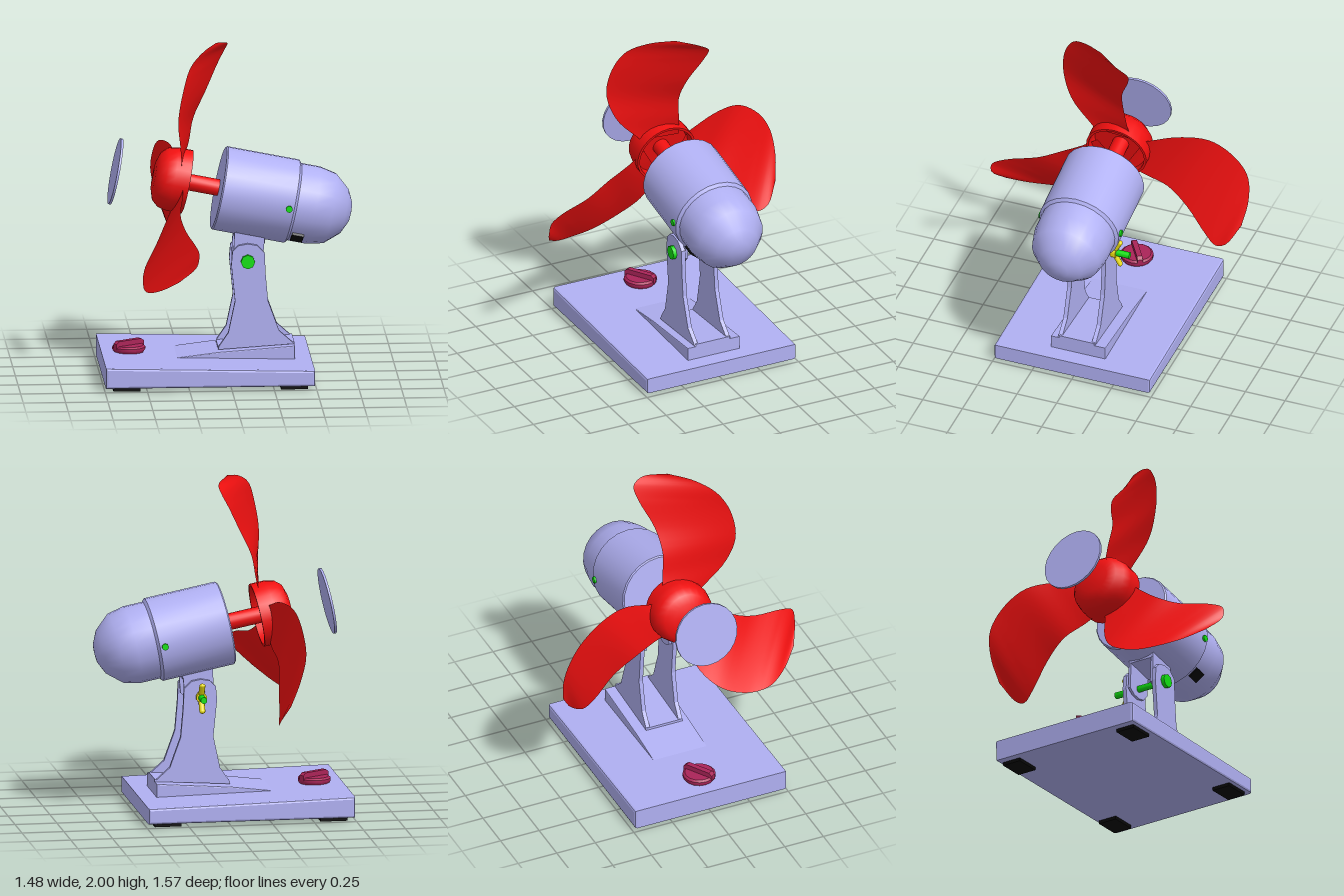
import * as THREE from 'three';
import { toCreasedNormals } from 'three/addons/utils/BufferGeometryUtils.js';
import { ParametricGeometry } from 'three/addons/geometries/ParametricGeometry.js';

const mat = (color, side = THREE.FrontSide) => {
  const m = new THREE.MeshStandardMaterial({ color });
  m.side = side;
  return m;
};
const body = mat(0xb0b0f2), red = mat(0xf01010), redThin = mat(0xf01010, THREE.DoubleSide);
const green = mat(0x10e010), yellow = mat(0xeadc10), black = mat(0x080808), purple = mat(0xaa2458);
const TILT = 0.2; // upward tilt of the motor axis

function add(parent, name, geo, material, x = 0, y = 0, z = 0) {
  const mesh = new THREE.Mesh(geo, material);
  mesh.name = name;
  mesh.position.set(x, y, z);
  parent.add(mesh);
  return mesh;
}

// Side profile in x/y, given thickness between z0 and z1
function slab(points, z0, z1, bevel = 0) {
  const shape = new THREE.Shape(points.map(p => new THREE.Vector2(...p)));
  const geo = new THREE.ExtrudeGeometry(shape, {
    depth: z1 - z0 - 2 * bevel, bevelEnabled: bevel > 0, bevelSize: bevel,
    bevelThickness: bevel, bevelOffset: -bevel, bevelSegments: 2,
  });
  return geo.translate(0, 0, z0 + bevel);
}

const lathe = (points, sides = 24) => toCreasedNormals(
  new THREE.LatheGeometry(points.map(p => new THREE.Vector2(...p)), sides), 0.6);

const cylinder = (r, length, sides) => toCreasedNormals(
  new THREE.CylinderGeometry(r, r, length, sides), 0.9);

const curve = points => new THREE.CatmullRomCurve3(
  points.map(([r, z, s]) => new THREE.Vector3(-r, s, z)));

// Twisted blade lofted between its leading and trailing edges: [radius, across, along axis]
function bladeGeometry() {
  const lead = curve([[0.10, 0.15, 0], [0.255, 0.30, -0.05], [0.42, 0.36, -0.10], [0.60, 0.34, -0.105],
    [0.73, 0.27, -0.085], [0.813, 0.16, -0.02], [0.86, 0.03, 0.06]]);
  const trail = curve([[0.10, -0.09, 0.02], [0.22, -0.075, 0.03], [0.373, -0.06, 0.026], [0.534, -0.08, 0.065],
    [0.717, -0.15, 0.114], [0.80, -0.16, 0.139], [0.845, -0.10, 0.139], [0.86, 0.03, 0.06]]);
  return new ParametricGeometry((u, v, target) => {
    target.lerpVectors(lead.getPoint(u), trail.getPoint(u), v);
  }, 28, 8);
}

function addBase(root) {
  add(root, 'base', slab([[-0.745, 0.02], [0.49, 0.02], [0.49, 0.115], [-0.745, 0.145]], -0.49, 0.495, 0.014), body);
  add(root, 'wedge', slab([[-0.34, 0.13], [0.39, 0.10], [0.39, 0.197], [-0.06, 0.165]], -0.17, 0.175, 0.006), body);
  for (const x of [-0.62, 0.37]) for (const z of [-0.405, 0.41])
    add(root, 'foot', new THREE.BoxGeometry(0.16, 0.025, 0.12), black, x, 0.0125, z);

  // Speed knob with a diagonal grip
  const knob = new THREE.Group();
  knob.name = 'knob';
  knob.position.set(-0.58, 0.135, 0);
  add(knob, 'knobDisc', lathe([[0, 0], [0.085, 0], [0.098, 0.02], [0.098, 0.035], [0.085, 0.045], [0, 0.045]], 16), purple);
  const grip = add(knob, 'knobGrip', slab([[-0.1, 0.03], [0.1, 0.03], [0.1, 0.06], [0.08, 0.075], [-0.08, 0.075],
    [-0.1, 0.06]], -0.016, 0.016), purple);
  grip.rotation.y = 0.56;
  root.add(knob);
}

function addBracket(root) {
  // Two waisted uprights joined by a floor plate
  const side = [[-0.06, 0.17], [0.39, 0.2], [0.30, 0.28], [0.235, 0.46], [0.22, 0.63], [0.215, 0.75],
    [0.17, 0.795], [0.115, 0.805], [0.06, 0.795], [0.025, 0.76], [0.018, 0.68], [0.04, 0.46], [0, 0.27], [-0.055, 0.19]];
  for (const z of [-0.106, 0.104])
    add(root, 'bracketSide', slab(side, z, z + 0.025), body);
  add(root, 'bracketFloor', slab([[-0.06, 0.17], [0.39, 0.197], [0.39, 0.212], [-0.06, 0.185]], -0.1, 0.12), body);

  // Motor lugs between the uprights
  const lug = [[0.03, 0.68], [0.07, 0.65], [0.12, 0.64], [0.17, 0.65], [0.205, 0.69], [0.22, 0.87], [0.04, 0.9]];
  for (const z of [-0.075, 0.083])
    add(root, 'motorLug', slab(lug, z, z + 0.016), body);
  add(root, 'lugBridge', slab([[0.036, 0.84], [0.218, 0.80], [0.22, 0.87], [0.04, 0.9]], -0.07, 0.09), body);

  // Pivot bolt and wing nut
  const bolt = new THREE.Group();
  bolt.name = 'pivotBolt';
  bolt.position.set(0.115, 0.7, 0);
  add(bolt, 'boltShaft', cylinder(0.02, 0.36, 10), green, 0, 0, -0.04).rotation.x = Math.PI / 2;
  add(bolt, 'boltHead', cylinder(0.042, 0.024, 8), green, 0, 0, 0.14).rotation.x = Math.PI / 2;
  add(bolt, 'wingNut', cylinder(0.032, 0.03, 10), yellow, 0, 0, -0.122).rotation.x = Math.PI / 2;
  for (const s of [-1, 1]) {
    const wing = add(bolt, 'nutWing', new THREE.CapsuleGeometry(0.014, 0.07, 4, 8), yellow, 0, s * 0.046, -0.143);
    wing.rotation.x = -s * 0.5;
    wing.scale.x = 1.3;
  }
  root.add(bolt);
}

function addHead(root) {
  // Local y runs backward along the motor axis, local x points down
  const head = new THREE.Group();
  head.name = 'head';
  head.position.set(-0.05, 1.12, 0);
  head.rotation.z = -Math.PI / 2 - TILT;

  add(head, 'motorHousing', lathe([[0, 0], [0.243, 0], [0.25, 0.008], [0.25, 0.44], [0.232, 0.455], [0.232, 0.57],
    [0.21, 0.67], [0.134, 0.757], [0.06, 0.793], [0, 0.8]]), body);
  add(head, 'housingPin', cylinder(0.02, 0.52, 10), green, 0, 0.41, 0).rotation.x = Math.PI / 2;
  const toggle = add(head, 'switch', new THREE.BoxGeometry(0.03, 0.07, 0.07), black, 0.173, 0.5, 0.15);
  toggle.rotation.y = -0.71;

  // Propeller: hollow-backed hub, shaft and three blades
  const propeller = new THREE.Group();
  propeller.name = 'propeller';
  add(propeller, 'shaft', cylinder(0.05, 0.32, 16), red, 0, -0.13, 0);
  add(propeller, 'hub', lathe([[0, -0.395], [0.09, -0.39], [0.145, -0.372], [0.178, -0.335], [0.19, -0.28],
    [0.19, -0.19], [0.175, -0.19], [0.165, -0.27], [0, -0.27]]), red);
  const geo = bladeGeometry();
  for (let i = 0; i < 3; i++)
    add(propeller, 'blade', geo, redThin, 0, -0.25, 0).rotation.y = i * Math.PI * 2 / 3;
  head.add(propeller);

  // Detached round front plate
  add(head, 'frontDisc', cylinder(0.198, 0.014, 24), body, 0.015, -0.619, 0.01);
  root.add(head);
}

export function createModel() {
  const root = new THREE.Group();
  root.name = 'deskFan';
  addBase(root);
  addBracket(root);
  addHead(root);
  return root;
}
